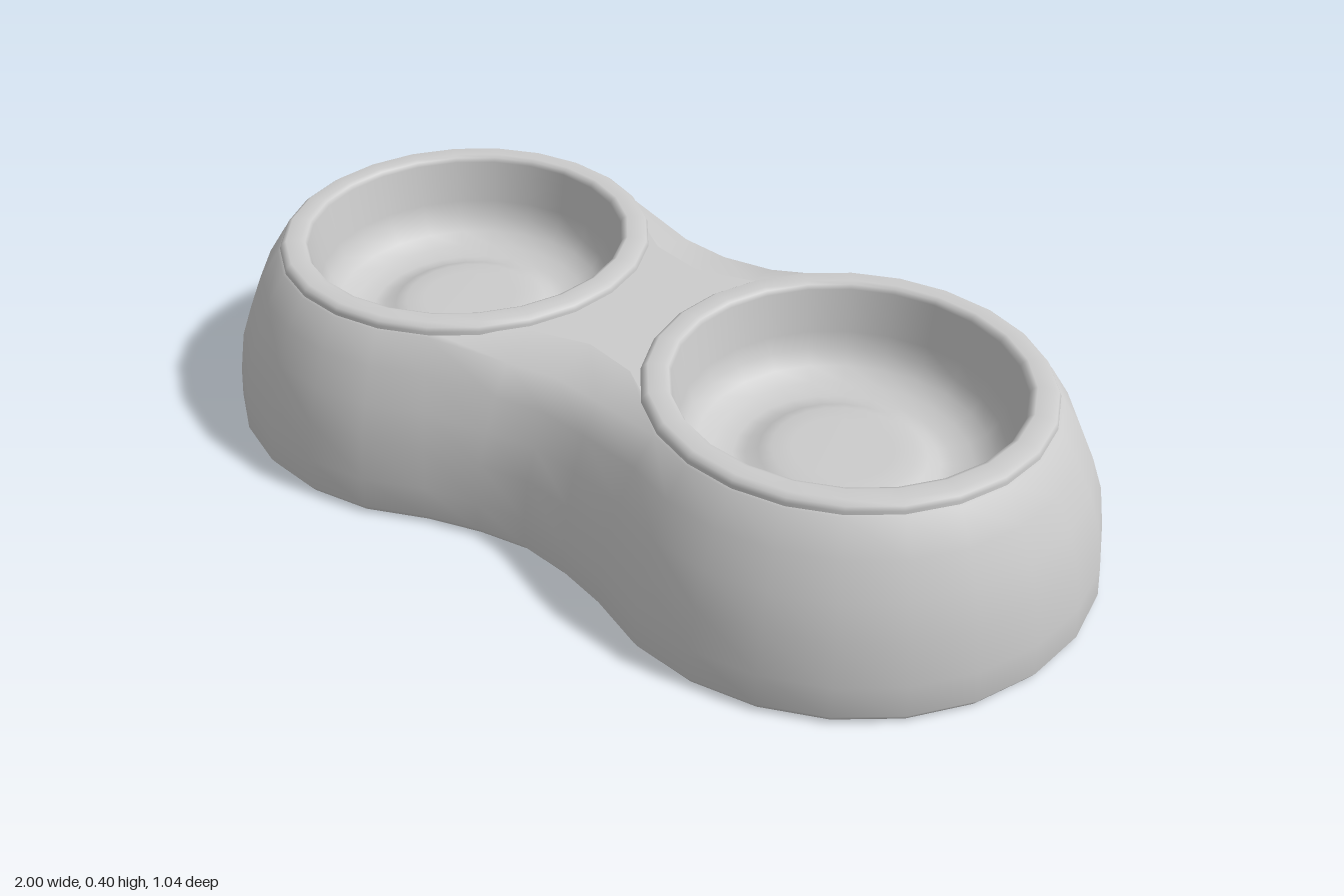
import * as THREE from 'three';

const CX = 0.48;      // distance of each bowl from the middle
const R = 0.52;       // radius of each lobe at the base
const SEGMENTS = 24;

// Closed peanut outline: two arcs joined by a waist. Points are [x, z, isWaist].
function outline(inset, waist) {
  const half = [];
  for (let i = -8; i <= 8; i++) {
    const a = (i / SEGMENTS) * Math.PI * 2;
    half.push([CX + (R - inset) * Math.cos(a), (R - inset) * Math.sin(a), false]);
  }
  half.push([waist[0], waist[1], true], [0, waist[2], true]);
  half.unshift([waist[0], -waist[1], true]);
  const other = half.map(([x, z, w]) => [-x, -z, w]);
  return [...half, ...other];
}

function flatCap(points, y, down, holeRadius) {
  const s = down ? 1 : -1;
  const shape = new THREE.Shape(points.map(([x, z]) => new THREE.Vector2(x, s * z)));
  if (holeRadius) {
    for (const side of [-1, 1]) {
      const hole = new THREE.Path();
      hole.absarc(side * CX, 0, holeRadius, 0, Math.PI * 2);
      shape.holes.push(hole);
    }
  }
  return new THREE.ShapeGeometry(shape, SEGMENTS / 2).rotateX(s * Math.PI / 2).translate(0, y, 0);
}

function loft(rings) {
  const n = rings[0].length;
  const index = [];
  for (let k = 0; k < rings.length - 1; k++) {
    for (let i = 0; i < n; i++) {
      const j = (i + 1) % n;
      const a = k * n + i, b = k * n + j, c = a + n, d = b + n;
      index.push(a, c, d, a, d, b);
    }
  }
  const geometry = new THREE.BufferGeometry();
  geometry.setAttribute('position', new THREE.Float32BufferAttribute(rings.flat(2), 3));
  geometry.setIndex(index);
  geometry.computeVertexNormals();
  return geometry;
}

export function createModel() {
  const model = new THREE.Group();
  model.name = 'doubleBowl';
  const material = new THREE.MeshStandardMaterial({ color: 0xcccccc });
  const add = (parent, name, geometry) => {
    const mesh = new THREE.Mesh(geometry, material);
    mesh.name = name;
    parent.add(mesh);
    return mesh;
  };

  // Domed outer wall, given as [inset, height] from the base up
  const levels = [[0.01, 0], [0, 0.015], [0.005, 0.08], [0.02, 0.17], [0.045, 0.24], [0.077, 0.31], [0.117, 0.372]];
  const rings = levels.map(([d, y]) =>
    outline(d, [0.11, 0.42 - d, 0.405 - d]).map(([x, z, w]) => [x, w ? y * 0.95 : y, z]));

  // Shoulder that rolls over onto the bridge between the bowls
  const top = outline(0.135, [0.12, 0.21, 0.18]);
  const topY = 0.375;
  rings.push(top.map(([x, z]) => [x, topY, z]));

  add(model, 'outerWall', loft(rings));
  add(model, 'bridgeTop', flatCap(top, topY, false, 0.36));
  add(model, 'base', flatCap(outline(0.01, [0.11, 0.41, 0.395]), 0, true));

  // Rim, inner wall, rounded floor and raised centre, from outside to middle
  const profile = [
    [0.397, 0.36], [0.397, 0.38], [0.393, 0.388], [0.383, 0.395], [0.352, 0.395], [0.343, 0.391],
    [0.338, 0.382], [0.322, 0.29], [0.312, 0.255], [0.29, 0.226], [0.255, 0.207], [0.215, 0.2],
    [0.19, 0.202], [0.165, 0.215], [0.14, 0.223], [0.1, 0.225], [0, 0.225],
  ].map(([r, y]) => new THREE.Vector2(r, y));
  const bowlGeometry = new THREE.LatheGeometry(profile, SEGMENTS);
  for (const [name, side] of [['leftBowl', 1], ['rightBowl', -1]]) {
    add(model, name, bowlGeometry).position.x = side * CX;
  }
  return model;
}
